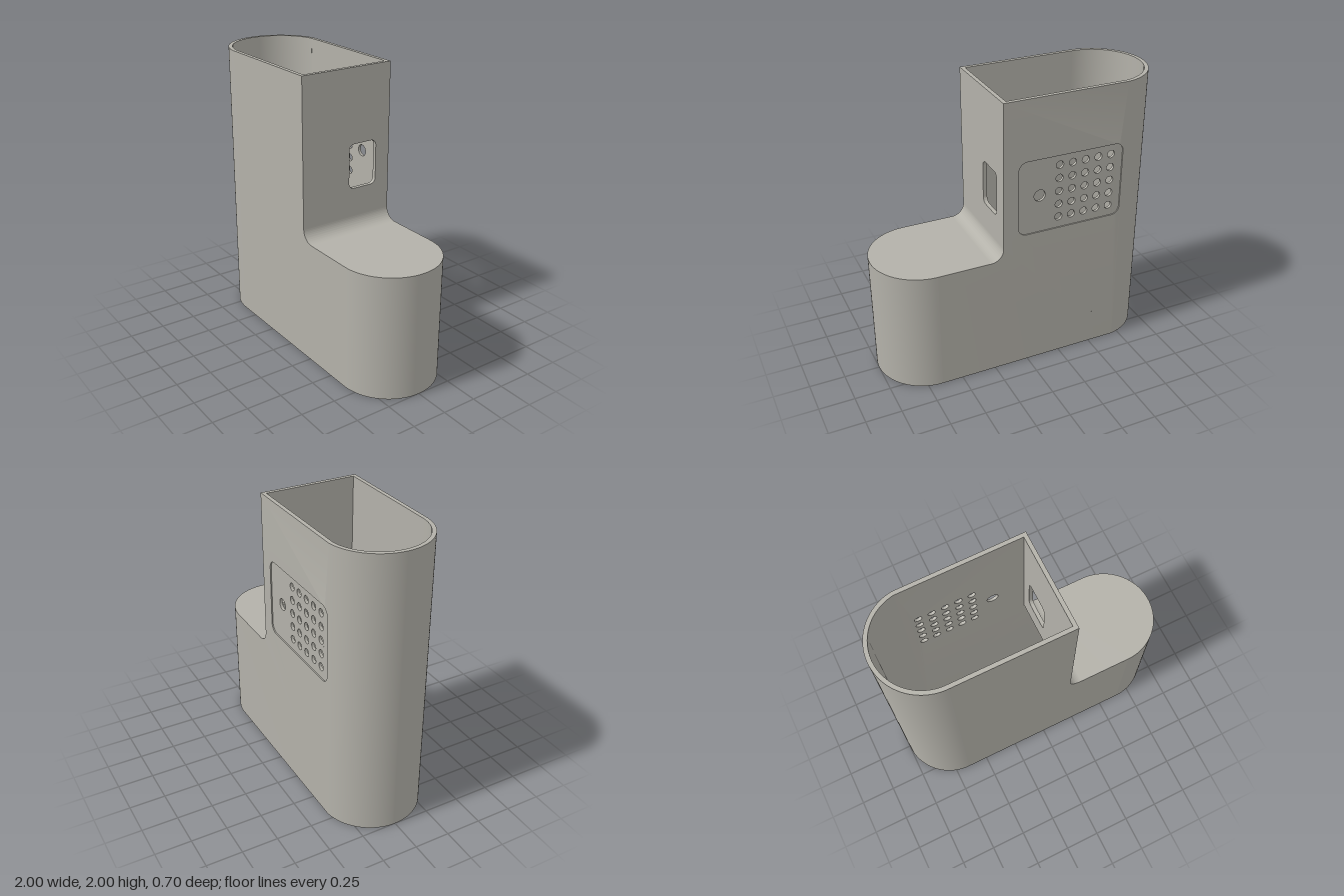
import * as THREE from 'three';
import { toCreasedNormals } from 'three/addons/utils/BufferGeometryUtils.js';

const R = 0.35, WALL = 0.028, RI = R - WALL;    // outer radius, wall thickness, inner radius
const CX = 0.65;                                // centres of the rounded ends
const TOP = 2, LOW = 0.88, STEP = 0.185, FIL = 0.09;
const BACK_X = -0.7;                            // the back plate runs slightly onto the curve
const RECESS = 0.008;

export function createModel() {
  const group = new THREE.Group();
  group.name = 'steppedHousing';
  const grey = new THREE.MeshStandardMaterial({ color: 0xb3b1a9 });
  grey.name = 'warm grey';

  const extrude = (shape, depth) =>
    new THREE.ExtrudeGeometry(shape, { depth, bevelEnabled: false, curveSegments: 32 });
  const add = (name, geometry) => {
    const mesh = new THREE.Mesh(toCreasedNormals(geometry, 0.5), grey);
    mesh.name = name;
    group.add(mesh);
  };

  // Rounded rectangle, used for cut-outs
  const roundRect = (x0, y0, x1, y1, r) => {
    const p = new THREE.Path();
    p.absarc(x1 - r, y0 + r, r, -Math.PI / 2, 0);
    p.absarc(x1 - r, y1 - r, r, 0, Math.PI / 2);
    p.absarc(x0 + r, y1 - r, r, Math.PI / 2, Math.PI);
    p.absarc(x0 + r, y0 + r, r, Math.PI, Math.PI * 1.5);
    p.closePath();
    return p;
  };
  const circle = (x, y, r) => new THREE.Path().absarc(x, y, r, 0, Math.PI * 2);

  // L-shaped side profile with a filleted inner corner
  const sideShape = (left) => {
    const s = new THREE.Shape();
    s.moveTo(left, 0);
    s.lineTo(CX, 0);
    s.lineTo(CX, LOW);
    s.absarc(STEP + FIL, LOW + FIL, FIL, -Math.PI / 2, -Math.PI, true);
    s.lineTo(STEP, TOP);
    s.lineTo(left, TOP);
    s.closePath();
    return s;
  };

  // Bends the overlapping strip of the back plate onto the rounded end
  const bend = (g) => {
    const p = g.attributes.position;
    for (let i = 0; i < p.count; i++) {
      const over = Math.max(0, -CX - p.getX(i));
      p.setZ(i, p.getZ(i) + R - Math.sqrt(R * R - over * over));
    }
    return g;
  };

  // Front wall
  add('frontWall', extrude(sideShape(-CX), WALL).translate(0, 0, RI));

  // Back wall: pierced inner layer and outer layer with the recess opening
  const pierced = sideShape(BACK_X);
  for (let i = 0; i < 5; i++) {
    for (let j = 0; j < 5; j++) {
      pierced.holes.push(circle(-0.22 - i * 0.095, 1.12 + j * 0.096, 0.027));
    }
  }
  pierced.holes.push(circle(-0.077, 1.31, 0.041));
  add('backWallGrille', bend(extrude(pierced, WALL - RECESS).translate(0, 0, -R + RECESS)));

  const skin = sideShape(BACK_X);
  skin.holes.push(roundRect(-0.688, 1.04, 0.078, 1.575, 0.06));
  add('backWallSkin', bend(extrude(skin, RECESS).translate(0, 0, -R)));

  // Tall rounded end
  const cut = -CX - BACK_X;
  const tall = new THREE.Shape();
  tall.absarc(-CX, 0, R, Math.PI / 2 + Math.asin(cut / R), Math.PI * 1.5, false);
  tall.absarc(-CX, 0, RI, Math.PI * 1.5, Math.PI / 2 + Math.asin(cut / RI), true);
  tall.closePath();
  add('tallRoundedEnd', extrude(tall, TOP).rotateX(-Math.PI / 2));

  // Low rounded end and its half-disc roof
  const low = new THREE.Shape();
  low.absarc(CX, 0, R, -Math.PI / 2, Math.PI / 2, false);
  low.absarc(CX, 0, RI, Math.PI / 2, -Math.PI / 2, true);
  low.closePath();
  add('lowRoundedEnd', extrude(low, LOW).rotateX(-Math.PI / 2));

  const cap = new THREE.Shape();
  cap.absarc(CX, 0, RI, -Math.PI / 2, Math.PI / 2, false);
  cap.closePath();
  add('roundedRoof', extrude(cap, WALL).rotateX(-Math.PI / 2).translate(0, LOW - WALL, 0));

  // Flat roof with the fillet up to the step wall
  const roof = new THREE.Shape();
  roof.moveTo(CX, LOW - WALL);
  roof.lineTo(CX, LOW);
  roof.absarc(STEP + FIL, LOW + FIL, FIL, -Math.PI / 2, -Math.PI, true);
  roof.absarc(STEP + FIL, LOW + FIL, FIL + WALL, -Math.PI, -Math.PI / 2, false);
  roof.closePath();
  add('filletedRoof', extrude(roof, 2 * RI).translate(0, 0, -RI));

  // Step wall with the window opening
  const step = new THREE.Shape();
  step.moveTo(-RI, LOW + FIL);
  step.lineTo(RI, LOW + FIL);
  step.lineTo(RI, TOP);
  step.lineTo(-RI, TOP);
  step.closePath();
  step.holes.push(roundRect(0.02, 1.165, 0.24, 1.48, 0.04));
  add('stepWall', extrude(step, WALL).rotateY(Math.PI / 2).translate(STEP - WALL, 0, 0));

  return group;
}
